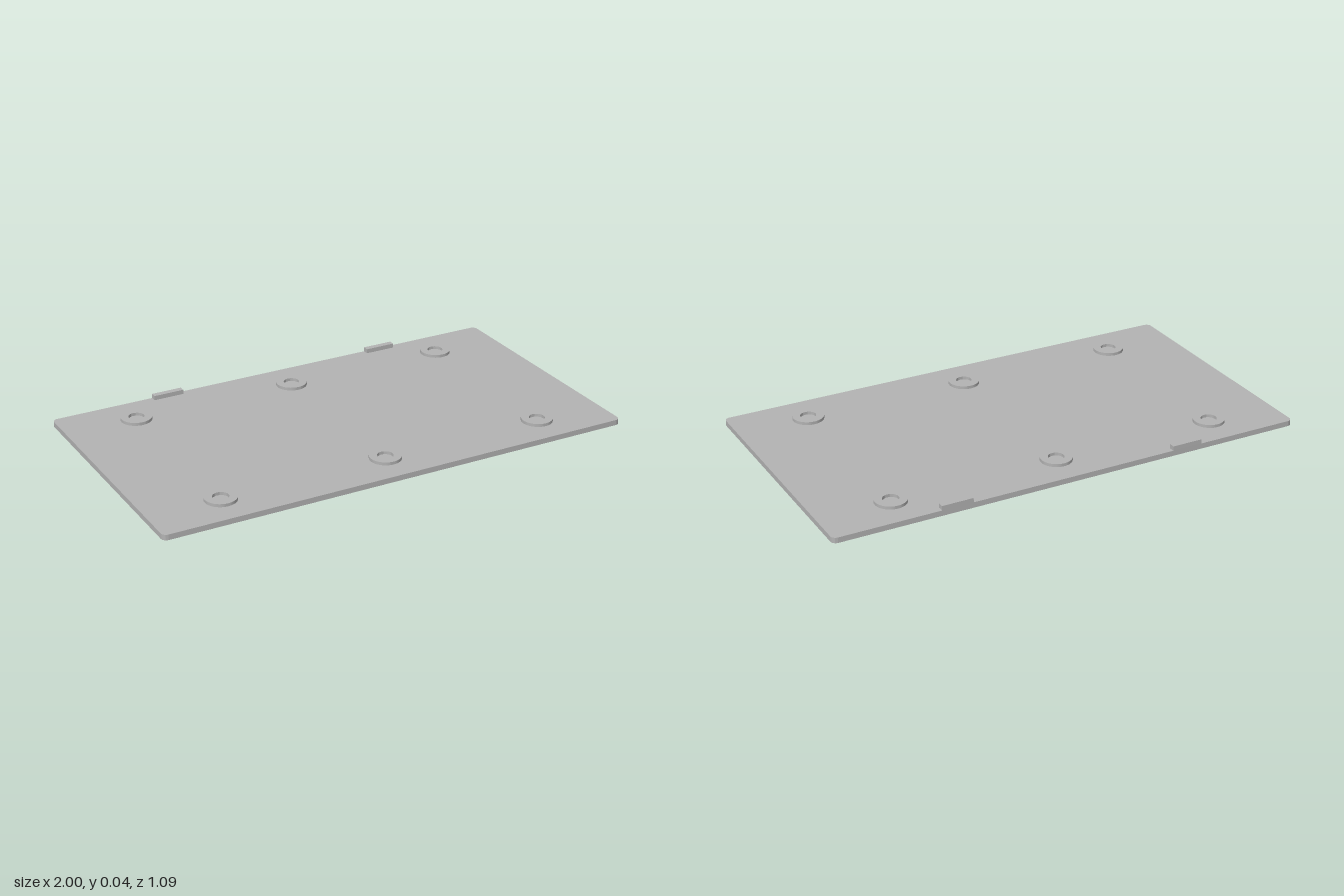
import * as THREE from 'three';
import { toCreasedNormals } from 'three/addons/utils/BufferGeometryUtils.js';

const HALF_X = 1, HALF_Z = 0.543, CORNER = 0.022, THICK = 0.0225;

// Rounded rectangular outline of the panel
function panelShape() {
  const s = new THREE.Shape();
  const x = HALF_X - CORNER, z = HALF_Z - CORNER;
  s.absarc(x, z, CORNER, 0, Math.PI / 2);
  s.absarc(-x, z, CORNER, Math.PI / 2, Math.PI);
  s.absarc(-x, -z, CORNER, Math.PI, Math.PI * 1.5);
  s.absarc(x, -z, CORNER, Math.PI * 1.5, Math.PI * 2);
  s.closePath();
  return s;
}

export function createModel() {
  const group = new THREE.Group();
  const grey = new THREE.MeshStandardMaterial({ color: 0xb3b3b3 });
  grey.name = 'grey';

  const add = (name, geometry, x = 0, y = 0, z = 0) => {
    const mesh = new THREE.Mesh(geometry, grey);
    mesh.name = name;
    mesh.position.set(x, y, z);
    group.add(mesh);
  };

  // Flat panel
  const panel = new THREE.ExtrudeGeometry(panelShape(), { depth: THICK, bevelEnabled: false, curveSegments: 8 });
  panel.rotateX(-Math.PI / 2);
  add('panel', toCreasedNormals(panel, 0.6));

  // Six ring-shaped bosses in two rows
  const profile = [[0.064, 0], [0.064, 0.0125], [0.032, 0.0125], [0.032, 0]]
    .map(([r, y]) => new THREE.Vector2(r, y));
  const boss = toCreasedNormals(new THREE.LatheGeometry(profile, 48), 0.6);
  for (const z of [-0.39, 0.39]) {
    for (const x of [-0.7, 0, 0.7]) add('boss', boss, x, THICK, z);
  }

  // Two upright tabs along the back edge
  const tab = new THREE.BoxGeometry(0.13, 0.0185, 0.025);
  for (const x of [-0.5, 0.5]) add('backTab', tab, x, THICK + 0.00925, -HALF_Z + 0.0125);

  return group;
}
